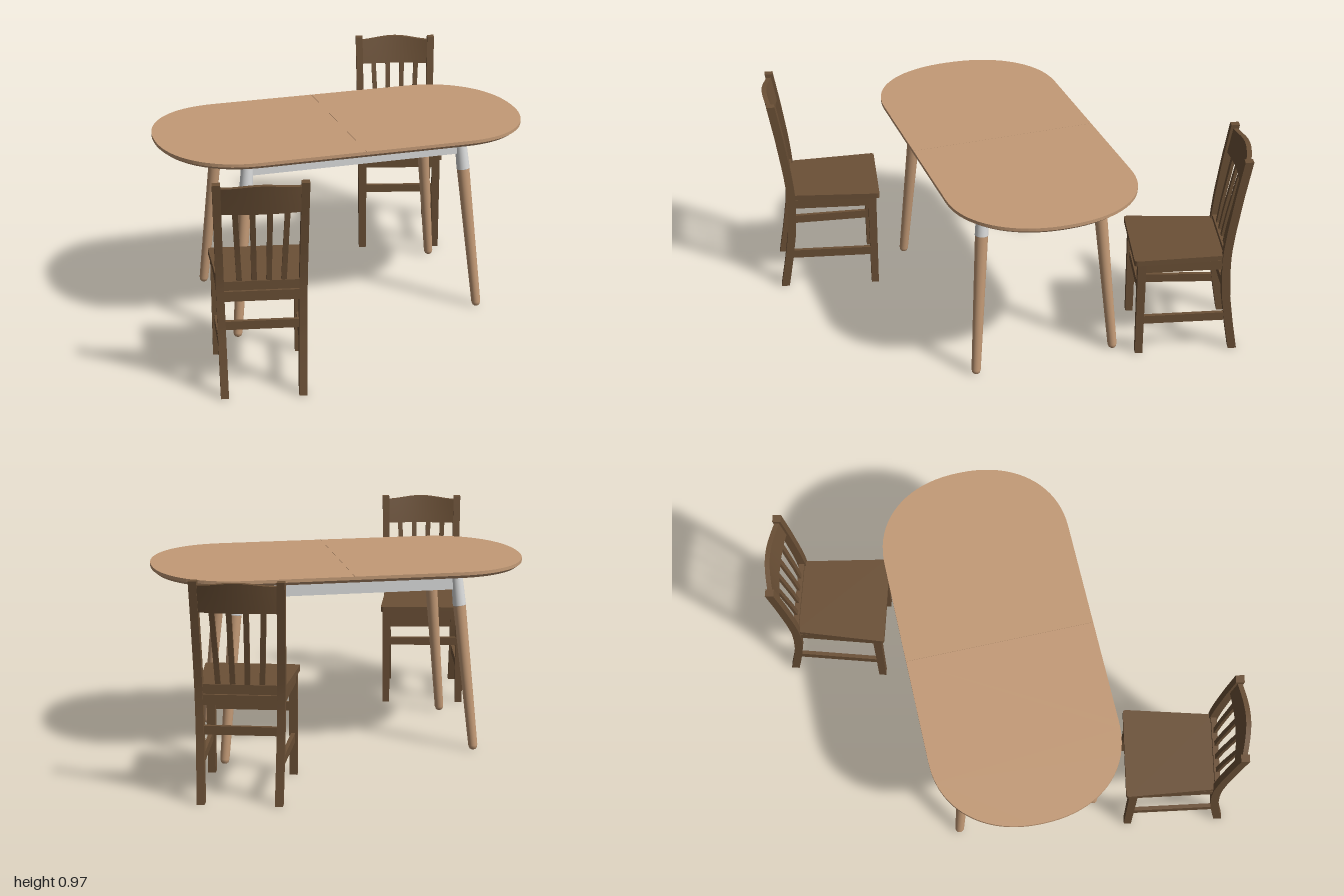
import * as THREE from 'three';

const material = (name, color) => {
  const m = new THREE.MeshStandardMaterial({ color });
  m.name = name;
  return m;
};

export function createModel() {
  const lightWood = material('lightWood', 0xc39a76);
  const darkWood = material('darkWood', 0x6b5036);
  const greyPaint = material('greyPaint', 0xd9dada);

  function add(parent, name, geometry, mat, x = 0, y = 0, z = 0) {
    const mesh = new THREE.Mesh(geometry, mat);
    mesh.name = name;
    mesh.position.set(x, y, z);
    parent.add(mesh);
    return mesh;
  }

  // Moves every vertex by a rule
  function reshape(geometry, rule) {
    const p = geometry.attributes.position;
    const v = new THREE.Vector3();
    for (let i = 0; i < p.count; i++) {
      rule(v.fromBufferAttribute(p, i));
      p.setXYZ(i, v.x, v.y, v.z);
    }
    geometry.computeVertexNormals();
    return geometry;
  }

  // Straight bar of rectangular section between two points at one height
  function bar(parent, name, a, b, y, height, thick, mat) {
    const dx = b[0] - a[0], dz = b[1] - a[1];
    const mesh = add(parent, name, new THREE.BoxGeometry(Math.hypot(dx, dz), height, thick), mat,
      (a[0] + b[0]) / 2, y, (a[1] + b[1]) / 2);
    mesh.rotation.y = -Math.atan2(dz, dx);
  }

  function createTable() {
    const table = new THREE.Group();
    table.name = 'table';

    // Two tabletop halves meeting at the middle, undercut along the rim
    const halfDepth = 0.43, straight = 0.48, end = 0.38;
    for (const side of [-1, 1]) {
      const points = [new THREE.Vector2(side * 0.0005, -halfDepth)];
      for (let i = 0; i <= 40; i++) {
        const t = -Math.PI / 2 + (Math.PI * i) / 40;
        const c = Math.max(0, Math.cos(t)), s = Math.sin(t);
        points.push(new THREE.Vector2(side * (straight + end * c ** 0.92),
          halfDepth * Math.sign(s) * Math.abs(s) ** 0.92));
      }
      points.push(new THREE.Vector2(side * 0.0005, halfDepth));
      const top = new THREE.ExtrudeGeometry(new THREE.Shape(points),
        { depth: 0.03, steps: 2, bevelEnabled: false });
      top.rotateX(-Math.PI / 2);
      reshape(top, (v) => {
        const inset = v.y < 0.01 ? 0.018 : 0;
        v.x *= 1 - inset / 0.86;
        v.z *= 1 - inset / halfDepth;
      });
      add(table, side > 0 ? 'tabletopLeft' : 'tabletopRight', top, lightWood, 0, 0.83, 0);
    }

    // Splayed round legs with painted sleeves
    const profile = (list) => new THREE.LatheGeometry(list.map(([r, y]) => new THREE.Vector2(r, y)), 24);
    const legShape = profile([[0, 0], [0.01, 0.002], [0.017, 0.008], [0.021, 0.022], [0.029, 0.69]]);
    const sleeveShape = profile([[0, 0.68], [0.03, 0.68], [0.03, 0.681], [0.026, 0.834]]);
    for (const sx of [-1, 1]) for (const sz of [-1, 1]) {
      const leg = new THREE.Group();
      leg.name = 'tableLeg';
      leg.position.set(sx * 0.578, 0, sz * 0.33);
      leg.quaternion.setFromUnitVectors(new THREE.Vector3(0, 1, 0),
        new THREE.Vector3(-sx * 0.078, 0.83, -sz * 0.063).normalize());
      add(leg, 'legShaft', legShape, lightWood);
      add(leg, 'legSleeve', sleeveShape, greyPaint);
      table.add(leg);
    }

    // Apron frame
    for (const s of [-1, 1]) {
      bar(table, 'longApron', [-0.5, s * 0.268], [0.5, s * 0.268], 0.79, 0.08, 0.03, greyPaint);
      bar(table, 'shortApron', [s * 0.5, -0.268], [s * 0.5, 0.268], 0.79, 0.08, 0.03, greyPaint);
    }
    return table;
  }

  // Side curve of the back posts: z of the centre line at height y
  const side = [[0, -0.468], [0.14, -0.444], [0.28, -0.424], [0.4, -0.417], [0.5, -0.417],
    [0.62, -0.43], [0.8, -0.457], [0.97, -0.487]];
  function postZ(y) {
    let i = 1;
    while (i < side.length - 1 && y > side[i][0]) i++;
    const [y0, z0] = side[i - 1], [y1, z1] = side[i];
    return z0 + ((z1 - z0) * (y - y0)) / (y1 - y0);
  }
  const postX = (y) => 0.166 + 0.0165 * (y / 0.97);
  const bow = (x, y) => 0.022 * Math.max(0, (y - 0.5) / 0.4) * (1 - (x / 0.18) ** 2);

  function createChair() {
    const chair = new THREE.Group();
    chair.name = 'chair';

    // Tapered seat with eased front corners
    const s = new THREE.Shape();
    s.moveTo(-0.18, 0.42);
    s.lineTo(-0.209, 0.015);
    s.quadraticCurveTo(-0.21, 0, -0.195, 0);
    s.lineTo(0.195, 0);
    s.quadraticCurveTo(0.21, 0, 0.209, 0.015);
    s.lineTo(0.18, 0.42);
    const seat = new THREE.ExtrudeGeometry(s, { depth: 0.025, bevelEnabled: false, curveSegments: 4 });
    seat.rotateX(-Math.PI / 2);
    add(chair, 'seat', seat, darkWood, 0, 0.467, 0);

    for (const m of [-1, 1]) {
      // Front leg, slightly tapered
      const leg = reshape(new THREE.BoxGeometry(0.038, 0.467, 0.038), (v) => {
        if (v.y < 0) { v.x *= 0.9; v.z *= 0.9; }
      });
      add(chair, 'frontLeg', leg, darkWood, m * 0.182, 0.2335, -0.035);

      // Back post, one curved piece from floor to crest
      const post = reshape(new THREE.BoxGeometry(0.034, 0.968, 0.038, 1, 24, 1), (v) => {
        v.y += 0.484;
        v.x += m * postX(v.y);
        v.z += postZ(v.y);
      });
      add(chair, 'backPost', post, darkWood);

      bar(chair, 'sideStretcher', [m * 0.182, -0.035], [m * 0.169, -0.44], 0.172, 0.04, 0.018, darkWood);
      bar(chair, 'sideApron', [m * 0.185, -0.035], [m * 0.172, -0.417], 0.446, 0.045, 0.022, darkWood);
    }

    // Front and back cross pieces
    for (const [x, z] of [[0.182, -0.035], [0.17, -0.421]]) {
      bar(chair, 'crossStretcher', [-x, z], [x, z], 0.312, 0.038, 0.018, darkWood);
      bar(chair, 'crossApron', [-x, z], [x, z], 0.446, 0.045, 0.022, darkWood);
    }
    bar(chair, 'lowerBackRail', [-0.172, -0.417], [0.172, -0.417], 0.498, 0.03, 0.026, darkWood);

    // Four slats, fanning out and leaning back
    for (const k of [-1.5, -0.5, 0.5, 1.5]) {
      const slat = reshape(new THREE.BoxGeometry(0.023, 0.36, 0.014, 1, 10, 1), (v) => {
        v.y += 0.68;
        v.x += k * (0.062 + 0.03 * (v.y - 0.5));
        v.z += postZ(v.y) - bow(v.x, v.y);
      });
      add(chair, 'backSlat', slat, darkWood);
    }

    // Bowed crest rail with a raised middle
    const crest = reshape(new THREE.BoxGeometry(0.35, 0.12, 0.022, 20, 4, 1), (v) => {
      const rise = 0.015 * (0.5 + 0.5 * Math.cos((v.x / 0.175) * Math.PI));
      v.y = 0.832 + (v.y / 0.12 + 0.5) * (0.118 + rise);
      v.z += postZ(v.y) - bow(v.x, v.y);
    });
    add(chair, 'crestRail', crest, darkWood);
    return chair;
  }

  const model = new THREE.Group();
  model.name = 'diningSet';
  const table = createTable();
  table.position.z = -0.018;
  model.add(table);

  // One chair on each long side, turned a little
  for (const [x, z, turn] of [[-0.523, 0.451, Math.PI - 0.202], [0.46, -0.463, -0.27]]) {
    const chair = createChair();
    chair.position.set(x, 0, z);
    chair.rotation.y = turn;
    model.add(chair);
  }
  return model;
}
